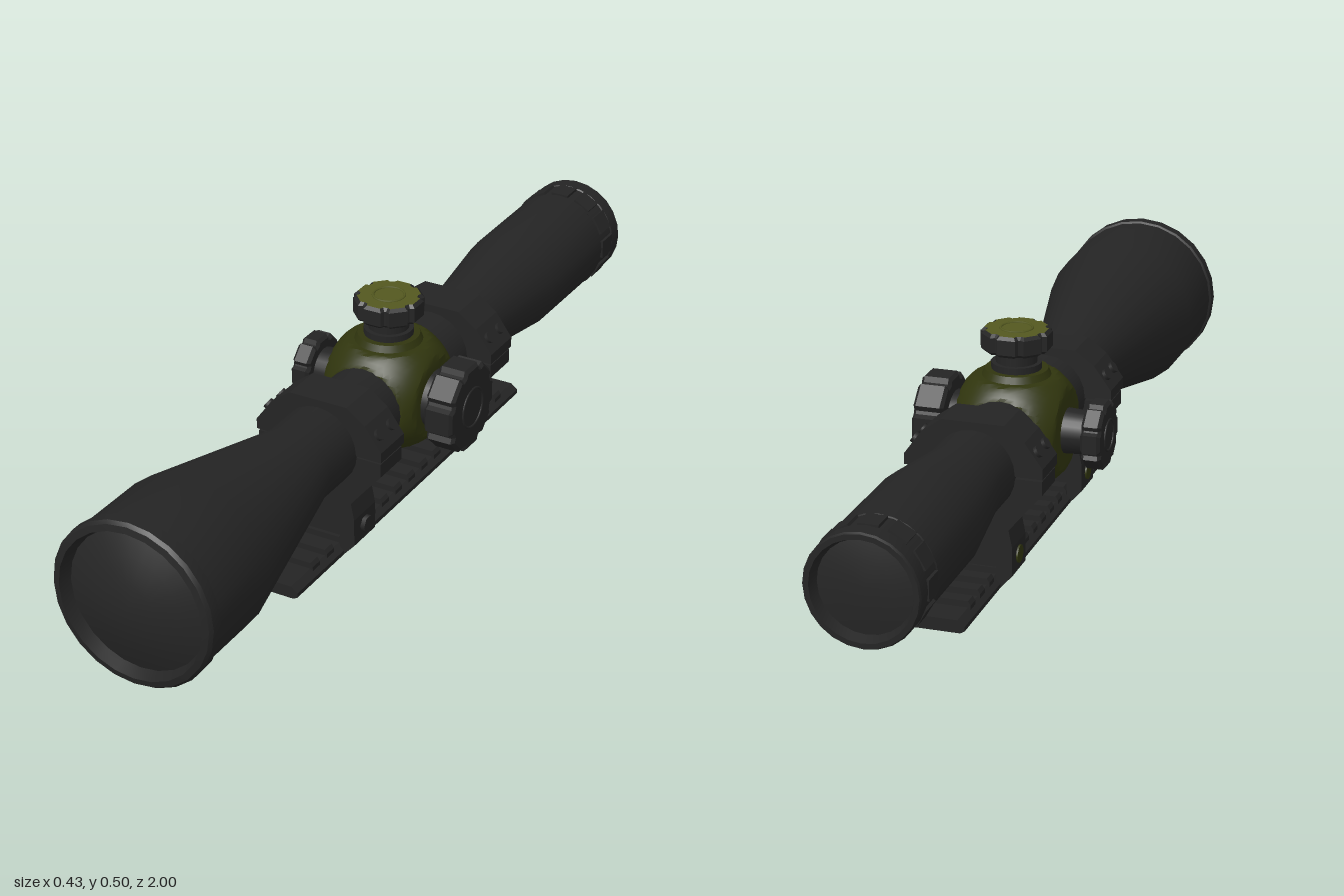
import * as THREE from 'three';
import { toCreasedNormals } from 'three/addons/utils/BufferGeometryUtils.js';

const AXIS = 0.267;      // height of the optical axis
const TURRET_Z = -0.048; // centre of the turret block

const paint = (name, color) => {
  const m = new THREE.MeshStandardMaterial({ color });
  m.name = name;
  return m;
};

export function createModel() {
  const black = paint('matte black', 0x242424);
  const glass = paint('dark glass', 0x262626);
  const darkOlive = paint('dark olive', 0x30350e);
  const olive = paint('olive', 0x53581f);

  const model = new THREE.Group();
  model.name = 'rifleScope';

  const add = (parent, name, geo, mat, x = 0, y = 0, z = 0) => {
    const mesh = new THREE.Mesh(geo, mat);
    mesh.name = name;
    mesh.position.set(x, y, z);
    parent.add(mesh);
    return mesh;
  };
  const vecs = (pts) => pts.map(([x, y]) => new THREE.Vector2(x, y));
  // Lathe around the z axis; points are [radius, z] from back to front
  const turned = (pts, seg = 24) =>
    toCreasedNormals(new THREE.LatheGeometry(vecs(pts), seg).rotateX(Math.PI / 2), 0.4);
  const cyl = (r1, r2, h, seg = 24) => new THREE.CylinderGeometry(r1, r2, h, seg);

  // Main tube with objective bell, eyepiece and hollow rims
  add(model, 'tube', turned([
    [0.1, -0.975], [0.108, -1], [0.119, -1], [0.122, -0.995], [0.122, -0.96], [0.119, -0.958],
    [0.119, -0.9], [0.121, -0.897], [0.12, -0.636], [0.0935, -0.435], [0.0935, 0.37],
    [0.182, 0.765], [0.183, 0.947], [0.188, 0.949], [0.188, 0.975], [0.182, 0.983],
    [0.168, 0.986], [0.158, 0.955],
  ]), black, 0, AXIS);
  add(model, 'objectiveLens', turned([[0.16, 0.957], [0.11, 0.978], [0.055, 0.993], [0, 0.998]]), glass, 0, AXIS);
  add(model, 'eyepieceLens', turned([[0, -0.982], [0.06, -0.98], [0.104, -0.972]]), glass, 0, AXIS);

  // Grip pads around the eyepiece
  const PADS = 12;
  for (let i = 0; i < PADS; i++) {
    const a = (i / PADS) * Math.PI * 2;
    const pad = add(model, 'gripPad', new THREE.BoxGeometry(0.012, 0.044, 0.052), black,
      Math.cos(a) * 0.1165, AXIS + Math.sin(a) * 0.1165, -0.93);
    pad.rotation.z = a;
  }

  // Turret block: a cube whose corners are cut by a sphere
  const block = new THREE.BoxGeometry(0.234, 0.234, 0.234, 14, 14, 14);
  const p = block.attributes.position;
  const v = new THREE.Vector3();
  for (let i = 0; i < p.count; i++) {
    v.fromBufferAttribute(p, i).clampLength(0, 0.149);
    p.setXYZ(i, v.x, v.y, v.z);
  }
  add(model, 'turretBlock', toCreasedNormals(block, 0.45), darkOlive, 0, 0.27, TURRET_Z);

  // Lobed adjustment knob standing on y = 0, with a bevelled rim
  const knob = (name, r, height, faceMat, lobes = 8) => {
    const g = new THREE.Group();
    g.name = name;
    const bevel = 0.007, outline = [];
    for (let i = 0; i < lobes; i++) {
      [[-0.3, 1], [0.3, 1], [0.4, 0.91], [0.6, 0.91]].forEach(([t, k]) => {
        const a = ((i + t) / lobes) * Math.PI * 2;
        outline.push([Math.cos(a) * (r * k - bevel), Math.sin(a) * (r * k - bevel)]);
      });
    }
    const geo = new THREE.ExtrudeGeometry(new THREE.Shape(vecs(outline)), {
      depth: height - 2 * bevel, bevelEnabled: true, bevelThickness: bevel, bevelSize: bevel, bevelSegments: 1,
    });
    geo.translate(0, 0, bevel).rotateX(-Math.PI / 2);
    add(g, name + 'Body', geo, [faceMat, black]);
    add(g, name + 'Ring', new THREE.TorusGeometry(r * 0.45, 0.003, 6, 24).rotateX(Math.PI / 2), faceMat, 0, height, 0);
    model.add(g);
    return g;
  };

  // Elevation turret on top
  add(model, 'topCollar', cyl(0.07, 0.078, 0.018), darkOlive, 0, 0.393, TURRET_Z);
  add(model, 'topNeckRing', cyl(0.056, 0.056, 0.016), black, 0, 0.409, TURRET_Z);
  add(model, 'topNeck', cyl(0.046, 0.046, 0.07), black, 0, 0.42, TURRET_Z);
  knob('topKnob', 0.078, 0.048, olive).position.set(0, 0.445, TURRET_Z);

  // Large knob on the left, small knob on the right
  [['leftKnob', 1, 0.103, 0.07, 0.142], ['rightKnob', -1, 0.077, 0.045, 0.167]].forEach(([name, side, r, h, x]) => {
    const neck = add(model, name + 'Neck', cyl(r * 0.62, r * 0.68, 0.08), black, side * (x - 0.03), AXIS, TURRET_Z);
    neck.rotation.z = -side * Math.PI / 2;
    const k = knob(name, r, h, black);
    k.position.set(side * x, AXIS, TURRET_Z);
    k.rotation.z = -side * Math.PI / 2;
  });

  // Mounting rings: faceted clamp, legs and screws
  const mirrored = (half) => new THREE.Shape(vecs([...half, ...half.map(([x, y]) => [-x, y]).reverse()]));
  const slab = (shape, depth) =>
    new THREE.ExtrudeGeometry(shape, { depth, bevelEnabled: false }).translate(0, 0, -depth / 2);
  const upper = mirrored([[0.155, 0.266], [0.155, 0.29], [0.115, 0.345], [0.07, 0.378]]);
  const lower = mirrored([
    [0.05, 0.053], [0.05, 0.003], [0.057, 0.003], [0.086, 0.035], [0.086, 0.1],
    [0.078, 0.14], [0.115, 0.185], [0.152, 0.228], [0.152, 0.26],
  ]);
  const tilt = Math.atan2(0.055, 0.04);
  for (const z of [0.212, -0.296]) {
    const ring = new THREE.Group();
    ring.name = 'mountRing';
    ring.position.z = z;
    model.add(ring);
    add(ring, 'ringCap', slab(upper, 0.1), black);
    add(ring, 'ringBase', slab(lower, 0.092), black);
    for (const s of [1, -1]) {
      for (const dz of [-0.026, 0.026]) {
        const screw = add(ring, 'capScrew', cyl(0.013, 0.013, 0.012, 12), black, s * 0.136, 0.319, dz);
        screw.rotation.z = -s * tilt;
      }
    }
    const nut = add(ring, 'clampNut', cyl(0.02, 0.02, 0.02, 6), black, 0.086, 0.07, 0);
    const bolt = add(ring, 'clampBolt', cyl(0.02, 0.02, 0.008, 12), darkOlive, -0.086, 0.07, 0);
    nut.rotation.z = bolt.rotation.z = Math.PI / 2;
  }

  // Rail: long plate with evenly spaced cross teeth
  const plate = mirrored([[0.05, 0], [0.06, 0.006], [0.06, 0.016], [0.044, 0.029]]);
  const tooth = mirrored([[0.05, 0.02], [0.05, 0.034], [0.044, 0.043]]);
  add(model, 'railPlate', slab(plate, 1.033), black, 0, 0, -0.06);
  for (let i = 0; i < 15; i++) {
    add(model, 'railTooth', slab(tooth, 0.03), black, 0, 0, 0.36 - i * 0.061);
  }

  return model;
}
